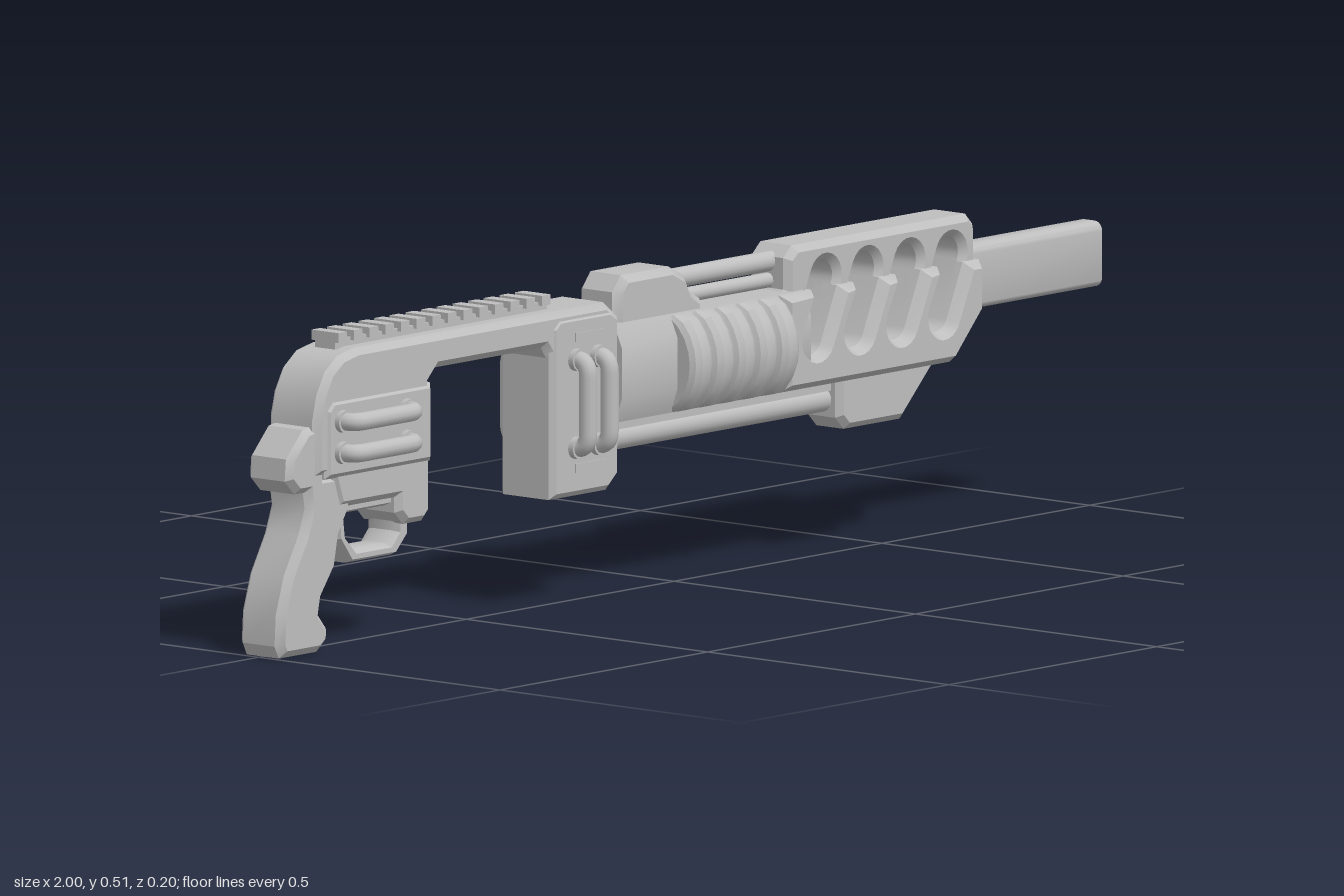
import * as THREE from 'three';
import { toCreasedNormals } from 'three/addons/utils/BufferGeometryUtils.js';

const gunmetal = new THREE.MeshStandardMaterial({ color: 0xbebebe });
gunmetal.name = 'light gunmetal grey';

export function createModel() {
  const model = new THREE.Group();
  model.name = 'pumpGun';

  const add = (name, geo, parent = model) => {
    const mesh = new THREE.Mesh(geo, gunmetal);
    mesh.name = name;
    parent.add(mesh);
    return mesh;
  };
  const vecs = (pts) => pts.map(([x, y]) => new THREE.Vector2(x, y));

  // Side profile extruded symmetrically in z, with chamfered edges
  const slab = (name, pts, half, bevel = 0.01, holes = [], thick = bevel) => {
    const shape = new THREE.Shape(vecs(pts));
    holes.forEach((h) => shape.holes.push(new THREE.Path(vecs(h))));
    const geo = new THREE.ExtrudeGeometry(shape, {
      depth: 2 * (half - thick), bevelEnabled: true, bevelSize: bevel,
      bevelOffset: -bevel, bevelThickness: thick, bevelSegments: 1,
    });
    geo.translate(0, 0, -half + thick);
    return add(name, toCreasedNormals(geo, 0.5));
  };

  // Cross-section given as (z, y) and extruded along x
  const beam = (name, pts, x0, x1, holes = []) => {
    const shape = new THREE.Shape(vecs(pts));
    holes.forEach((h) => shape.holes.push(new THREE.Path(vecs(h))));
    const geo = new THREE.ExtrudeGeometry(shape, { depth: x1 - x0, bevelEnabled: false });
    geo.rotateY(Math.PI / 2).translate(x0, 0, 0);
    return add(name, toCreasedNormals(geo, 0.5));
  };

  const rod = (name, r, x0, x1, y) => {
    const geo = new THREE.CylinderGeometry(r, r, x1 - x0, 20);
    geo.rotateZ(Math.PI / 2).translate((x0 + x1) / 2, y, 0);
    return add(name, geo);
  };

  // Rounded rectangle outline
  const rounded = (cx, cy, hw, hh, r) => {
    const out = [];
    [[1, 1], [-1, 1], [-1, -1], [1, -1]].forEach(([sx, sy], q) => {
      for (let i = 0; i <= 5; i++) {
        const a = (q + i / 5) * Math.PI / 2;
        out.push([cx + sx * (hw - r) + r * Math.cos(a), cy + sy * (hh - r) + r * Math.sin(a)]);
      }
    });
    return out;
  };

  // Arched receiver joining the rear housing to the front block
  slab('receiverArch', [
    [-0.92, 0.28], [-0.92, 0.37], [-0.91, 0.41], [-0.89, 0.445], [-0.86, 0.467], [-0.82, 0.475],
    [-0.22, 0.475], [-0.195, 0.455], [-0.195, 0.2], [-0.34, 0.2], [-0.355, 0.22], [-0.355, 0.4],
    [-0.37, 0.42], [-0.625, 0.42], [-0.645, 0.4], [-0.645, 0.28],
  ], 0.053, 0.011);
  slab('rearHousing', [
    [-0.9, 0.275], [-0.9, 0.385], [-0.885, 0.4], [-0.645, 0.4], [-0.645, 0.275],
  ], 0.057, 0.008);
  slab('lowerHousing', [
    [-0.88, 0.29], [-0.64, 0.29], [-0.64, 0.195], [-0.655, 0.18], [-0.7, 0.18], [-0.72, 0.2], [-0.72, 0.225], [-0.86, 0.225],
  ], 0.05, 0.01);
  slab('frontBlock', [
    [-0.357, 0.177], [-0.22, 0.177], [-0.193, 0.2], [-0.193, 0.45], [-0.215, 0.465], [-0.34, 0.465], [-0.357, 0.45],
  ], 0.056, 0.009);
  slab('rearKnob', [
    [-0.89, 0.257], [-0.955, 0.257], [-0.978, 0.28], [-0.975, 0.315], [-0.935, 0.357], [-0.89, 0.365],
  ], 0.045, 0.01);

  // Grip and trigger guard
  slab('grip', [
    [-0.825, 0.28], [-0.935, 0.28], [-0.928, 0.23], [-0.943, 0.19], [-0.978, 0.13], [-0.997, 0.07],
    [-1, 0.02], [-0.99, 0], [-0.9, 0], [-0.88, 0.015], [-0.877, 0.035], [-0.898, 0.06],
    [-0.893, 0.085], [-0.86, 0.13], [-0.85, 0.18], [-0.825, 0.22],
  ], 0.045, 0.012);
  slab('triggerGuard', [
    [-0.85, 0.23], [-0.845, 0.17], [-0.815, 0.13], [-0.705, 0.13], [-0.675, 0.16], [-0.675, 0.23],
  ], 0.033, 0.006, [[
    [-0.83, 0.21], [-0.825, 0.175], [-0.8, 0.15], [-0.72, 0.15], [-0.703, 0.168], [-0.703, 0.195], [-0.72, 0.21],
  ]], 0.013);

  // Toothed top rail
  const rail = new THREE.Group();
  rail.name = 'topRail';
  model.add(rail);
  add('railBase', new THREE.BoxGeometry(0.51, 0.016, 0.042).translate(-0.585, 0.48, 0), rail);
  for (let i = 0; i < 14; i++) {
    add('railTooth', new THREE.BoxGeometry(0.021, 0.016, 0.056).translate(-0.83 + i * 0.0377, 0.491, 0), rail);
  }

  // Bent side handles on both flanks
  const handle = (name, a, b, side) => {
    const p = ([x, y], z) => new THREE.Vector3(x, y, z * side);
    const toward = ([x, y], [u, v], d) => {
      const l = Math.hypot(u - x, v - y);
      return [x + (u - x) * d / l, y + (v - y) * d / l];
    };
    const path = new THREE.CurvePath();
    const a2 = toward(a, b, 0.025), b2 = toward(b, a, 0.025);
    path.add(new THREE.LineCurve3(p(a, 0.04), p(a, 0.06)));
    path.add(new THREE.QuadraticBezierCurve3(p(a, 0.06), p(a, 0.082), p(a2, 0.082)));
    path.add(new THREE.LineCurve3(p(a2, 0.082), p(b2, 0.082)));
    path.add(new THREE.QuadraticBezierCurve3(p(b2, 0.082), p(b, 0.082), p(b, 0.06)));
    path.add(new THREE.LineCurve3(p(b, 0.06), p(b, 0.04)));
    add(name, new THREE.TubeGeometry(path, 40, 0.0145, 12));
    for (const [x, y] of [a, b]) {
      add('handleCollar', new THREE.CylinderGeometry(0.018, 0.018, 0.012, 16)
        .rotateX(Math.PI / 2).translate(x, y, side * 0.06));
    }
  };
  for (const side of [1, -1]) {
    for (const y of [0.365, 0.315]) handle('rearHandle', [-0.865, y], [-0.71, y], side);
    for (const x of [-0.302, -0.25]) handle('frontHandle', [x, 0.255], [x, 0.395], side);
    // Thin trim bars above and below the front handles
    for (const y of [0.43, 0.222]) {
      const geo = new THREE.BoxGeometry(0.07, 0.014, 0.006);
      add('trimBar', geo.translate(-0.268, y, side * 0.055));
    }
  }

  // Pump body with faceted section
  beam('pumpBody', [
    [-0.045, 0.28], [0.045, 0.28], [0.06, 0.32], [0.06, 0.4], [0.043, 0.437],
    [-0.043, 0.437], [-0.06, 0.4], [-0.06, 0.32],
  ], -0.195, 0.26);

  // Rounded ribs, flattened above and below
  for (let i = 0; i < 5; i++) {
    const profile = [[0, -0.025], [0.085, -0.025], [0.094, -0.02], [0.1, -0.01], [0.1, 0.01], [0.094, 0.02], [0.085, 0.025], [0, 0.025]];
    const geo = new THREE.LatheGeometry(vecs(profile), 24).rotateZ(Math.PI / 2);
    const pos = geo.attributes.position;
    for (let k = 0; k < pos.count; k++) pos.setY(k, THREE.MathUtils.clamp(pos.getY(k), -0.077, 0.077));
    geo.translate(-0.036 + i * 0.052, 0.358, 0);
    add('pumpRib', toCreasedNormals(geo, 0.5));
  }

  // Top hump, guide rods and lower tube
  slab('topHump', [
    [-0.185, 0.425], [-0.185, 0.485], [-0.165, 0.51], [-0.05, 0.51], [-0.015, 0.492], [0.0, 0.465], [0.025, 0.45], [0.025, 0.425],
  ], 0.043, 0.012);
  rod('upperRod', 0.016, -0.03, 0.25, 0.482);
  rod('upperInnerRod', 0.012, -0.03, 0.25, 0.452);
  rod('lowerTube', 0.02, -0.2, 0.37, 0.247);
  rod('lowerTubeCollar', 0.027, -0.2, -0.165, 0.247);
  add('lowerSpine', new THREE.BoxGeometry(0.56, 0.025, 0.04).translate(0.085, 0.275, 0));

  // Slanted slots cut through the shroud
  const r = 0.028, A = [0.275, 0.36], B = [0.315, 0.45];
  const tilt = Math.atan2(B[1] - A[1], B[0] - A[0]);
  const arc = (c, from, dx) => Array.from({ length: 11 }, (_, i) => {
    const a = from + i / 10 * Math.PI;
    return [c[0] + dx + r * Math.cos(a), c[1] + r * Math.sin(a)];
  });
  const shifts = [0, 1, 2, 3].map((i) => i * 0.101);
  const slots = shifts.map((dx) => [...arc(A, tilt + Math.PI / 2, dx), ...arc(B, tilt - Math.PI / 2, dx)]);
  slab('shroudCore', [
    [0.2, 0.28], [0.61, 0.28], [0.68, 0.355], [0.68, 0.49], [0.663, 0.508], [0.245, 0.508], [0.225, 0.49], [0.225, 0.44], [0.2, 0.42],
  ], 0.043, 0.011, slots);

  // Wider lower shroud, notched to follow the slots
  const top = 0.435;
  const notches = [...shifts].reverse().flatMap((dx) => {
    const pts = arc(A, tilt + Math.PI / 2, dx);
    const rise = ([x, y]) => [x + (top - y) / Math.tan(tilt), top];
    return [rise(pts[10]), ...pts.slice().reverse(), rise(pts[0])];
  });
  slab('shroudCheeks', [
    [0.2, 0.28], [0.61, 0.28], [0.68, 0.355], [0.68, top], ...notches, [0.2, top],
  ], 0.063, 0.012, [], 0.018);

  // Angled nose under the shroud
  slab('lowerNose', [
    [0.355, 0.29], [0.355, 0.22], [0.375, 0.2], [0.51, 0.2], [0.585, 0.275], [0.585, 0.29],
  ], 0.038, 0.01);

  // Hollow oblong barrel
  beam('barrel', rounded(0, 0.402, 0.026, 0.052, 0.015), 0.66, 1, [rounded(0, 0.402, 0.018, 0.043, 0.01)]);
  beam('barrelPlug', rounded(0, 0.402, 0.019, 0.044, 0.01), 0.66, 0.9);

  return model;
}
